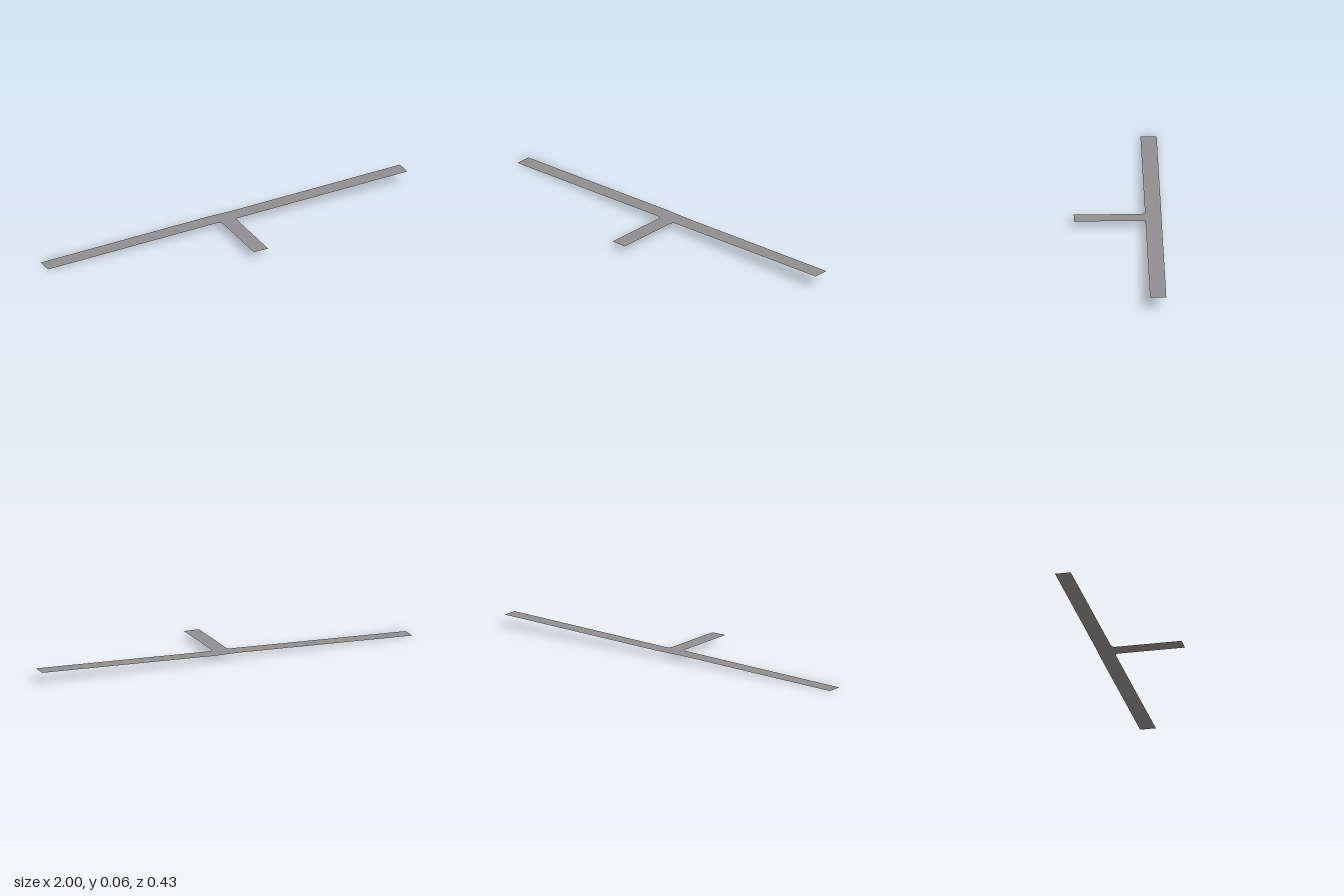
import * as THREE from 'three';

const HALF = 0.04;        // half width of every road
const KERB = 0.01;        // width of the edge strips
const ROAD_Z = -0.177;    // centre line of the long road
const BRANCH_X = 0.003;   // centre line of the side road
const REACH = 0.065;      // where the junction meets the arms
const MID_Y = 0.03;       // height of the level junction
const FRONT_Z = 0.217;
const MOUTH_Z = -0.115;   // where the junction meets the side road

const paint = color => new THREE.MeshStandardMaterial({
  color, side: THREE.DoubleSide, flatShading: true,
});
const asphalt = paint(0x8f8f91);
const paving = paint(0x959490);

// Lays a flat geometry face up and sets its height by a rule in x
function lay(name, geometry, material, height) {
  geometry.rotateX(-Math.PI / 2);
  const p = geometry.attributes.position;
  for (let i = 0; i < p.count; i++) p.setY(i, height(p.getX(i)));
  geometry.computeVertexNormals();
  const mesh = new THREE.Mesh(geometry, material);
  mesh.name = name;
  return mesh;
}

// Rectangle between two corners in plan
function strip(name, material, x0, x1, z0, z1, height) {
  const g = new THREE.PlaneGeometry(x1 - x0, z1 - z0);
  g.translate((x0 + x1) / 2, -(z0 + z1) / 2, 0);
  return lay(name, g, material, height);
}

export function createModel() {
  const group = new THREE.Group();
  group.name = 'roadJunction';
  const level = () => MID_Y;
  // The long road climbs gently towards +x, level at the junction
  const climb = x => MID_Y + Math.sign(x) * MID_Y * (Math.abs(x) - REACH) / (1 - REACH);

  // Carriageway and edge strips across the road width
  const lanes = [
    ['EdgeStrip', paving, -HALF, -HALF + KERB],
    ['Carriageway', asphalt, -HALF + KERB, HALF - KERB],
    ['EdgeStrip', paving, HALF - KERB, HALF],
  ];
  for (const [part, material, a, b] of lanes) {
    group.add(strip('leftArm' + part, material, REACH, 1, ROAD_Z + a, ROAD_Z + b, climb));
    group.add(strip('rightArm' + part, material, -1, -REACH, ROAD_Z + a, ROAD_Z + b, climb));
    group.add(strip('sideRoad' + part, material, BRANCH_X + a, BRANCH_X + b, MOUTH_Z, FRONT_Z, level));
  }

  // Level junction with rounded inner corners (shape y is -z)
  const back = -(ROAD_Z - HALF), front = -(ROAD_Z + HALF), mouth = -MOUTH_Z;
  const l = BRANCH_X - HALF, r = BRANCH_X + HALF;
  const s = new THREE.Shape();
  s.moveTo(-REACH, back);
  s.lineTo(-REACH, front);
  s.quadraticCurveTo(l, front, l, mouth);
  s.lineTo(r, mouth);
  s.quadraticCurveTo(r, front, REACH, front);
  s.lineTo(REACH, back);
  s.closePath();
  group.add(lay('junction', new THREE.ShapeGeometry(s, 6), asphalt, level));

  return group;
}
